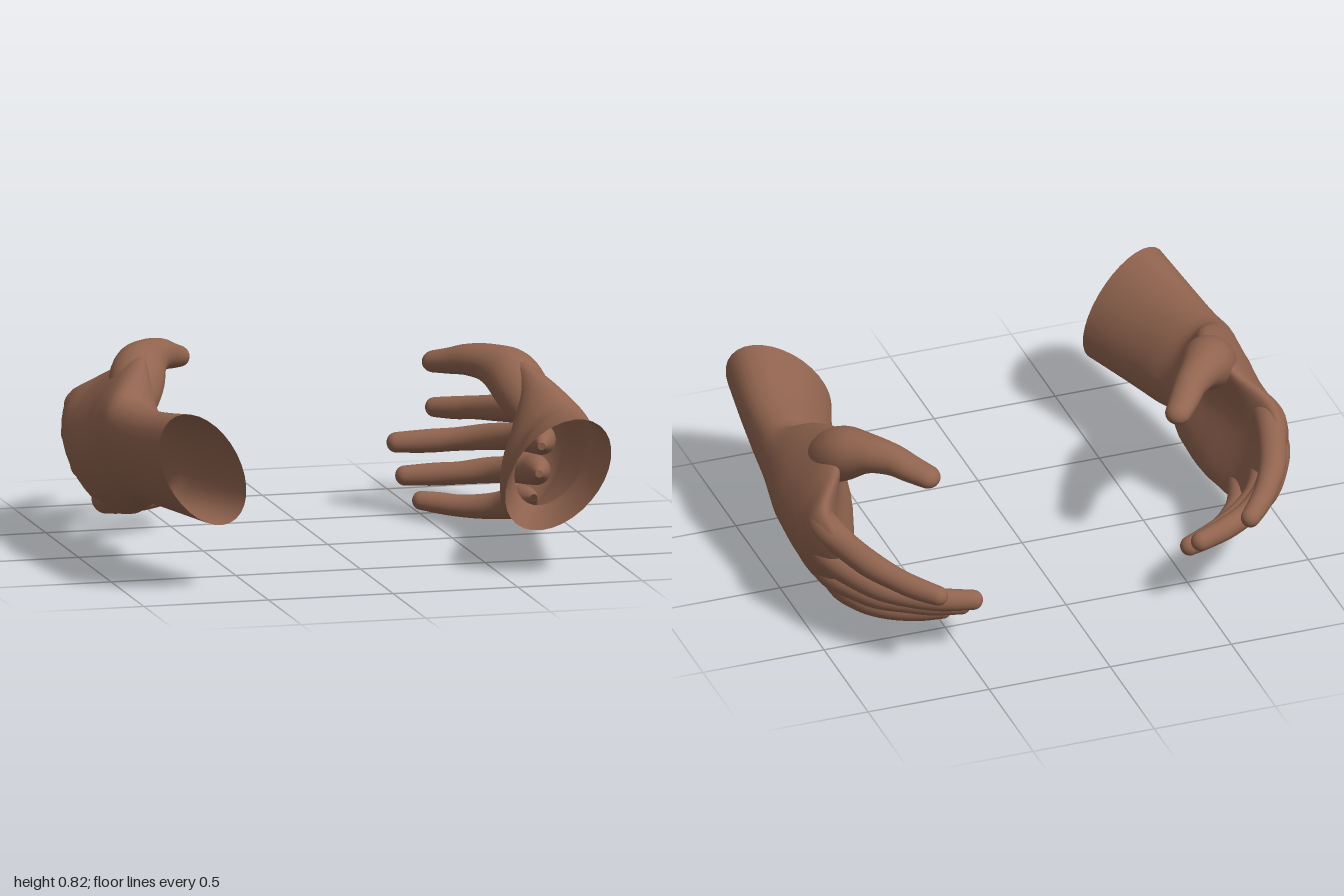
import * as THREE from 'three';

const skin = new THREE.MeshStandardMaterial({ color: 0x91644f, side: THREE.DoubleSide });
skin.name = 'brown skin';
const SIDES = 32;

// Smoothly interpolates every column of a table of stations, t in 0..1
function sample(rows, t) {
  const f = t * (rows.length - 1);
  const i = Math.min(Math.floor(f), rows.length - 2);
  const k = f - i;
  const row = (n) => rows[Math.max(0, Math.min(rows.length - 1, n))];
  return rows[i].map((p1, c) => {
    const p0 = row(i - 1)[c], p2 = row(i + 1)[c], p3 = row(i + 2)[c];
    const m1 = (p2 - p0) / 2, m2 = (p3 - p1) / 2;
    return p1 + k * (m1 + k * (3 * (p2 - p1) - 2 * m1 - m2 + k * (2 * (p1 - p2) + m1 + m2)));
  });
}

// Skins a list of closed rings; the far end closes on a point
function skinRings(name, rings, tip, side) {
  const pos = [], index = [];
  for (const ring of rings) for (const p of ring) pos.push(p.x * side, p.y, p.z);
  pos.push(tip.x * side, tip.y, tip.z);
  const tri = (a, b, c) => (side > 0 ? index.push(a, b, c) : index.push(a, c, b));
  const last = rings.length - 1;
  for (let j = 0; j < SIDES; j++) {
    const k = (j + 1) % SIDES;
    for (let i = 0; i < last; i++) {
      const a = i * SIDES + j, b = i * SIDES + k;
      tri(a, b, b + SIDES);
      tri(a, b + SIDES, a + SIDES);
    }
    tri(last * SIDES + j, last * SIDES + k, rings.length * SIDES);
  }
  const geo = new THREE.BufferGeometry();
  geo.setAttribute('position', new THREE.Float32BufferAttribute(pos, 3));
  geo.setIndex(index);
  geo.computeVertexNormals();
  const mesh = new THREE.Mesh(geo, skin);
  mesh.name = name;
  return mesh;
}

// Round-ended digit; rows: x, y, z, half height, half thickness
function digit(name, rows, side) {
  const rings = [], steps = 42;
  const at = (t) => new THREE.Vector3(...sample(rows, t).slice(0, 3));
  const addRing = (centre, dir, a, b) => {
    const u = new THREE.Vector3(0, 1, 0).addScaledVector(dir, -dir.y).normalize();
    const w = new THREE.Vector3().crossVectors(dir, u);
    rings.push(Array.from({ length: SIDES }, (_, j) => {
      const q = (j / SIDES) * Math.PI * 2;
      return centre.clone().addScaledVector(u, a * Math.cos(q)).addScaledVector(w, b * Math.sin(q));
    }));
  };
  for (let i = 0; i <= steps; i++) {
    const t = i / steps, r = sample(rows, t);
    const dir = at(Math.min(1, t + 0.02)).sub(at(Math.max(0, t - 0.02))).normalize();
    addRing(at(t), dir, r[3], r[4]);
  }
  // Domed fingertip
  const end = rows[rows.length - 1];
  const dir = at(1).sub(at(0.97)).normalize();
  for (let i = 1; i < 6; i++) {
    const q = (i / 6) * Math.PI / 2;
    addRing(at(1).addScaledVector(dir, end[4] * Math.sin(q)), dir, end[3] * Math.cos(q), end[4] * Math.cos(q));
  }
  return skinRings(name, rings, at(1).addScaledVector(dir, end[4]), side);
}

// Forearm and palm; rows: x, y, z, half breadth, half thickness, tilt in degrees,
// cupping, slope along x, slope along y, and the pull of the thumb ball in x and y
const ARM = [
  [0.715, 0.395, 0.80, 0.25, 0.153, 40, 0, 0.34, -0.14, 0, 0],
  [0.772, 0.372, 0.55, 0.225, 0.142, 38, 0, 0.2, -0.08, 0, 0],
  [0.807, 0.363, 0.38, 0.213, 0.138, 33, 0, 0.1, -0.03, 0, 0],
  [0.836, 0.362, 0.25, 0.212, 0.134, 28, 0, 0, 0, -0.01, 0.01],
  [0.841, 0.345, 0.11, 0.25, 0.155, 21, 0.02, 0, 0, -0.07, 0.065],
  [0.872, 0.315, -0.03, 0.265, 0.127, 19, 0.05, 0, -0.08, -0.125, 0.12],
  [0.898, 0.295, -0.14, 0.265, 0.098, 19, 0.055, 0, -0.16, -0.09, 0.055],
  [0.908, 0.272, -0.22, 0.25, 0.08, 20, 0.055, 0, -0.28, -0.01, 0.005],
  [0.902, 0.262, -0.3, 0.225, 0.064, 20, 0.05, 0, -0.4, 0, 0],
  [0.885, 0.258, -0.36, 0.19, 0.045, 20, 0.04, 0, -0.45, 0, 0],
  [0.875, 0.257, -0.385, 0.13, 0.016, 20, 0.02, 0, -0.45, 0, 0],
];

function forearmAndPalm(side) {
  const rings = [], steps = 90;
  for (let i = 0; i <= steps; i++) {
    const [x, y, z, a, b, deg, cup, sx, sy, pullX, pullY] = sample(ARM, i / steps);
    const s = Math.sin(deg * Math.PI / 180), c = Math.cos(deg * Math.PI / 180);
    rings.push(Array.from({ length: SIDES }, (_, j) => {
      const q = (j / SIDES) * Math.PI * 2;
      const v = Math.cos(q), h = Math.sin(q), top = Math.max(v, 0) ** 2;
      const dx = a * v * s + b * h * c - cup * v * v;
      const dy = a * v * c - b * h * s;
      return new THREE.Vector3(x + dx + pullX * top, y + dy + pullY * top, z + sx * dx + sy * dy);
    }));
  }
  return skinRings('forearmAndPalm', rings, new THREE.Vector3(0.873, 0.257, -0.387), side);
}

// Each digit tapers out of the palm and runs to the tip, swelling at the joints
const DIGITS = {
  thumb: [
    [0.82, 0.42, 0.1, 0.03, 0.03],
    [0.8, 0.5, 0.045, 0.085, 0.085],
    [0.785, 0.565, -0.02, 0.105, 0.108],
    [0.755, 0.618, -0.1, 0.104, 0.104],
    [0.695, 0.648, -0.185, 0.076, 0.08],
    [0.63, 0.65, -0.26, 0.062, 0.064],
    [0.58, 0.636, -0.325, 0.052, 0.059],
    [0.532, 0.624, -0.385, 0.044, 0.052],
  ],
  indexFinger: [
    [0.9, 0.41, -0.12, 0.015, 0.015],
    [0.92, 0.425, -0.21, 0.054, 0.05],
    [0.92, 0.423, -0.31, 0.063, 0.062],
    [0.88, 0.405, -0.44, 0.054, 0.055],
    [0.83, 0.388, -0.57, 0.052, 0.053],
    [0.765, 0.372, -0.68, 0.046, 0.046],
    [0.71, 0.36, -0.75, 0.045, 0.043],
    [0.645, 0.352, -0.82, 0.039, 0.038],
  ],
  middleFinger: [
    [0.89, 0.32, -0.12, 0.015, 0.015],
    [0.92, 0.32, -0.22, 0.054, 0.05],
    [0.92, 0.314, -0.32, 0.062, 0.062],
    [0.87, 0.297, -0.45, 0.054, 0.055],
    [0.79, 0.277, -0.565, 0.052, 0.052],
    [0.685, 0.258, -0.642, 0.046, 0.045],
    [0.58, 0.247, -0.688, 0.046, 0.043],
    [0.464, 0.241, -0.72, 0.04, 0.038],
  ],
  ringFinger: [
    [0.87, 0.22, -0.08, 0.015, 0.015],
    [0.89, 0.212, -0.18, 0.054, 0.05],
    [0.885, 0.2, -0.275, 0.06, 0.06],
    [0.83, 0.183, -0.375, 0.052, 0.053],
    [0.76, 0.168, -0.45, 0.051, 0.05],
    [0.66, 0.152, -0.503, 0.045, 0.044],
    [0.57, 0.144, -0.543, 0.045, 0.042],
    [0.46, 0.138, -0.576, 0.039, 0.037],
  ],
  littleFinger: [
    [0.83, 0.14, -0.01, 0.015, 0.015],
    [0.825, 0.112, -0.11, 0.055, 0.05],
    [0.81, 0.088, -0.2, 0.064, 0.058],
    [0.765, 0.063, -0.28, 0.054, 0.05],
    [0.7, 0.049, -0.343, 0.048, 0.046],
    [0.625, 0.046, -0.395, 0.043, 0.042],
    [0.565, 0.052, -0.43, 0.042, 0.04],
    [0.496, 0.06, -0.462, 0.037, 0.035],
  ],
};

function hand(name, side) {
  const group = new THREE.Group();
  group.name = name;
  group.add(forearmAndPalm(side));
  for (const [part, rows] of Object.entries(DIGITS)) group.add(digit(part, rows, side));
  return group;
}

export function createModel() {
  const model = new THREE.Group();
  model.name = 'pairOfHands';
  const left = hand('leftHand', 1);
  const right = hand('rightHand', -1);
  // The right hand is held a little higher and rolled inward
  right.position.set(-0.04, 0.025, 0.005);
  right.rotation.z = -0.1;
  model.add(left, right);
  return model;
}
